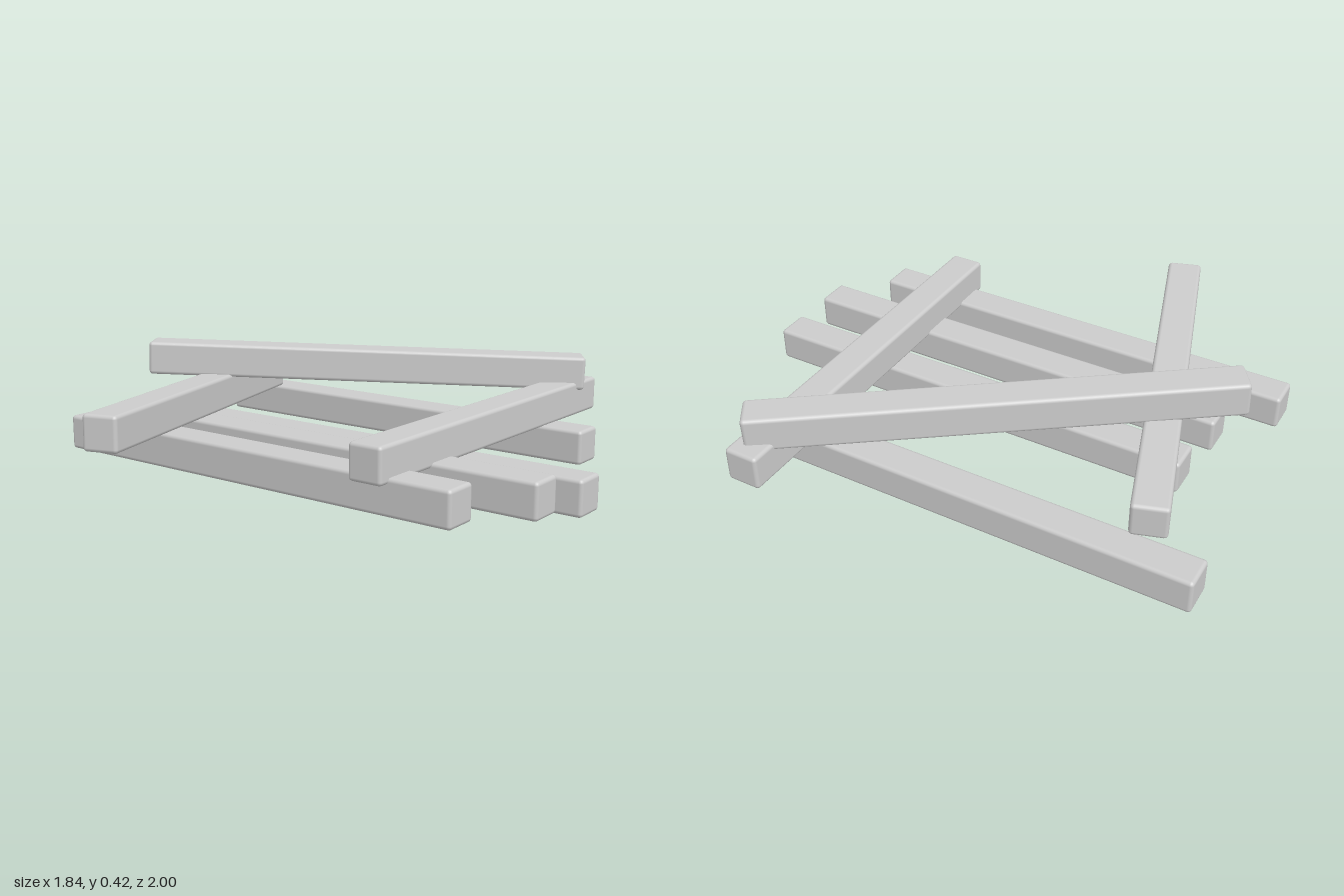
import * as THREE from 'three';
import { RoundedBoxGeometry } from 'three/addons/geometries/RoundedBoxGeometry.js';

const SIZE = 0.13; // square cross-section of every beam

export function createModel() {
  const group = new THREE.Group();
  const material = new THREE.MeshStandardMaterial({ color: 0xcccccc });

  // A softly bevelled square beam running between two end-face centres
  function beam(name, from, to) {
    const a = new THREE.Vector3(...from);
    const b = new THREE.Vector3(...to);
    const geometry = new RoundedBoxGeometry(SIZE, SIZE, a.distanceTo(b), 2, 0.014);
    const mesh = new THREE.Mesh(geometry, material);
    mesh.name = name;
    mesh.position.copy(a).add(b).multiplyScalar(0.5);
    mesh.lookAt(b);
    group.add(mesh);
  }

  // Four beams lying front to back
  beam('lowerBeamOuterRight', [-0.455, 0.107, -0.93], [-0.455, 0.107, 0.80]);
  beam('lowerBeamInnerRight', [-0.211, 0.104, -0.768], [-0.209, 0.104, 0.962]);
  beam('lowerBeamMiddle', [0.022, 0.066, -0.733], [0.022, 0.066, 1.0]);
  beam('lowerBeamLeft', [0.552, 0.089, -1.0], [0.552, 0.089, 0.73]);

  // Two shorter beams laid across them
  beam('frontCrossBeam', [-0.56, 0.215, 0.504], [0.92, 0.215, 0.508]);
  beam('rearCrossBeam', [-0.905, 0.256, -0.328], [0.495, 0.219, -0.792]);

  // Long beam lying diagonally on top
  beam('topDiagonalBeam', [-0.143, 0.361, -0.868], [0.822, 0.314, 0.563]);

  return group;
}
